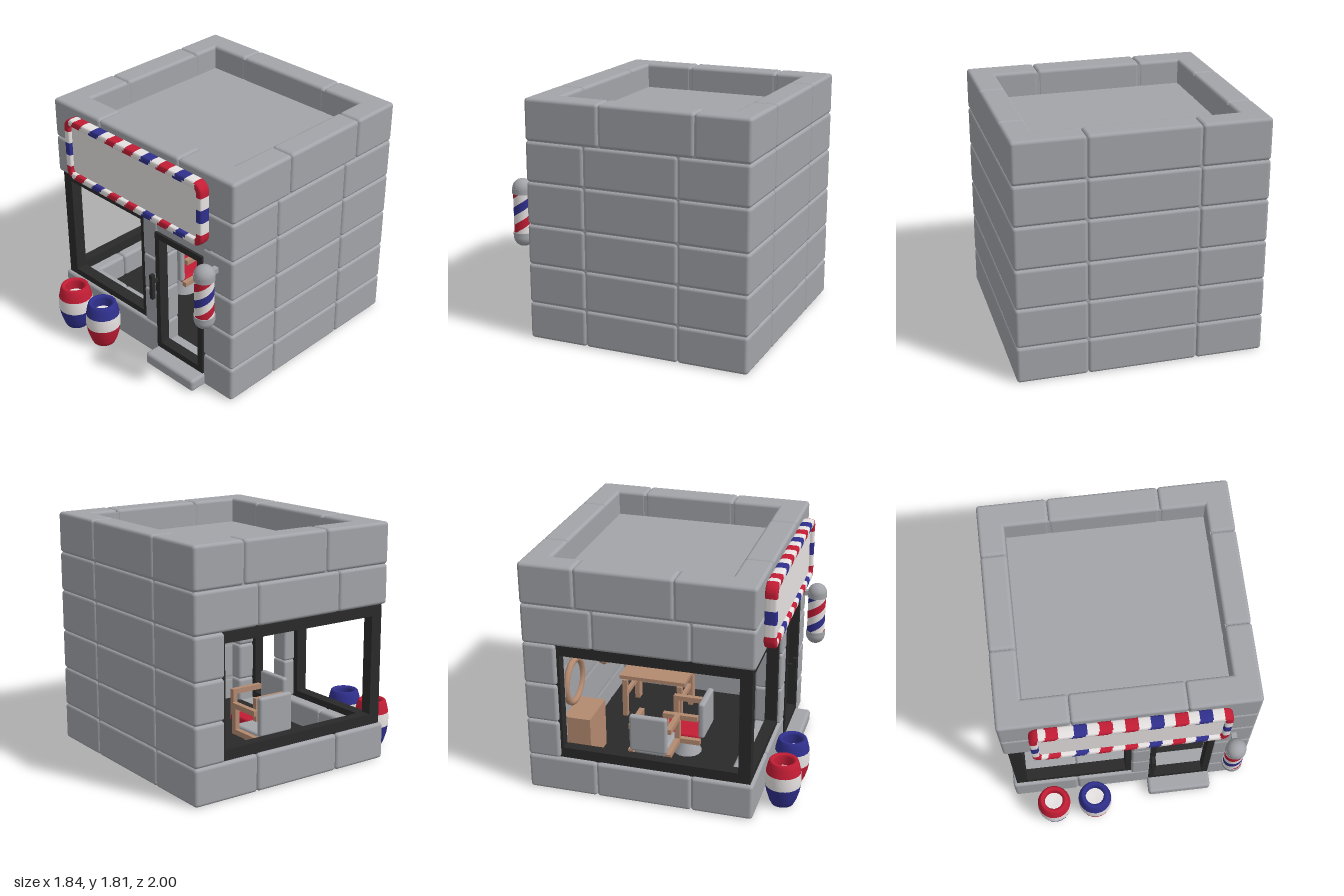
import * as THREE from 'three';
import { RoundedBoxGeometry } from 'three/addons/geometries/RoundedBoxGeometry.js';

const mat = (name, color, side = THREE.FrontSide) => {
  const m = new THREE.MeshStandardMaterial({ color, side });
  m.name = name;
  return m;
};

export function createModel() {
  const stone = mat('stone grey', 0xa2a4a9);
  const white = mat('white', 0xe8e3e3, THREE.DoubleSide);
  const red = mat('red', 0xc41d35, THREE.DoubleSide);
  const blue = mat('blue', 0x30308e, THREE.DoubleSide);
  const black = mat('black', 0x2a2a2a);
  const wood = mat('wood', 0xb48a70);

  const model = new THREE.Group();
  model.name = 'barberShop';

  const add = (name, geo, material, parent = model) => {
    const m = new THREE.Mesh(geo, material);
    m.name = name;
    parent.add(m);
    return m;
  };
  // Box given by its limits, with optional rounded edges
  const box = (name, material, [x0, x1], [y0, y1], [z0, z1], r = 0, parent = model) => {
    const s = [x1 - x0, y1 - y0, z1 - z0];
    const geo = r ? new RoundedBoxGeometry(...s, 3, r) : new THREE.BoxGeometry(...s);
    const m = add(name, geo, material, parent);
    m.position.set((x0 + x1) / 2, (y0 + y1) / 2, (z0 + z1) / 2);
    return m;
  };
  // Surface grid with one material per cell
  const grid = (name, nu, nv, pos, pick, materials) => {
    const p = [], lists = materials.map(() => []);
    for (let j = 0; j <= nv; j++) for (let i = 0; i <= nu; i++) p.push(...pos(i / nu, j / nv));
    for (let j = 0; j < nv; j++) for (let i = 0; i < nu; i++) {
      const a = j * (nu + 1) + i, b = a + 1, c = b + nu + 1, d = a + nu + 1;
      lists[pick((i + 0.5) / nu, (j + 0.5) / nv)].push(a, b, c, a, c, d);
    }
    const geo = new THREE.BufferGeometry();
    geo.setAttribute('position', new THREE.Float32BufferAttribute(p, 3));
    geo.setIndex(lists.flat());
    let start = 0;
    lists.forEach((l, k) => { geo.addGroup(start, l.length, k); start += l.length; });
    geo.computeVertexNormals();
    return add(name, geo, materials);
  };

  // Stone block walls, six courses high
  const rows = [0, 0.28, 0.58, 0.88, 1.2, 1.5, 1.81];
  const X = [-0.92, -0.41, 0.4, 0.92];
  for (let r = 0; r < 6; r++) {
    const y = [rows[r], rows[r + 1]];
    const Z = r === 5 ? [-1, -0.59, 0.13, 0.71] : [-1, -0.47, 0.25, 0.71];
    const opening = r >= 1 && r <= 3;
    for (let k = 0; k < 3; k++) {
      const x = [X[k], X[k + 1]], z = [Z[k], Z[k + 1]];
      box('backWallBlock', stone, x, y, [-1, -0.81], 0.025);
      box('leftWallBlock', stone, [0.73, 0.92], y, z, 0.025);
      if (!opening) box('rightWallBlock', stone, [-0.92, -0.73], y, z, 0.025);
      if (r > 3) box('frontWallBlock', stone, x, y, [0.5, 0.71], 0.025);
    }
    if (opening) {
      box('rightRearPillar', stone, [-0.92, -0.73], y, [-1, -0.75], 0.025);
      box('doorPillar', stone, [0.02, 0.17], y, [0.5, 0.71], 0.02);
      box('frontCornerPillar', stone, [0.63, 0.92], y, [0.5, 0.71], 0.025);
    }
  }
  // Solid wall cores closing the joints between blocks
  box('backWallCore', stone, [-0.9, 0.9], [0.02, 1.79], [-0.985, -0.813]);
  box('leftWallCore', stone, [0.733, 0.905], [0.02, 1.79], [-0.98, 0.69]);
  box('rightWallCore', stone, [-0.905, -0.733], [1.21, 1.79], [-0.98, 0.69]);
  box('frontWallCore', stone, [-0.9, 0.9], [1.21, 1.79], [0.503, 0.695]);

  box('windowBaseBlock', stone, [-0.92, -0.41], [0, 0.28], [0.5, 0.71], 0.025);
  box('windowBaseBlock', stone, [-0.41, 0.17], [0, 0.28], [0.5, 0.71], 0.025);
  box('windowBaseCore', stone, [-0.9, 0.15], [0.02, 0.26], [0.51, 0.695]);
  box('cornerBaseBlock', stone, [0.63, 0.92], [0, 0.28], [0.5, 0.71], 0.025);
  box('doorLintel', stone, [0.1, 0.7], [1.11, 1.22], [0.52, 0.7]);
  box('doorstep', stone, [0.15, 0.65], [0, 0.1], [0.5, 0.84], 0.025);
  box('foundation', stone, [-0.85, 0.85], [0.005, 0.09], [-0.93, 0.65]);
  box('floor', black, [-0.74, 0.74], [0.09, 0.1], [-0.82, 0.52]);
  box('roof', stone, [-0.8, 0.8], [1.54, 1.62], [-0.9, 0.6]);

  // Window and door frames
  const frame = (name, [x0, x1], [y0, y1], d, left, w) => {
    const g = new THREE.Group();
    g.name = name;
    model.add(g);
    const z = [-d / 2, d / 2];
    box('leftPost', black, [x0, x0 + left], [y0, y1], z, 0, g);
    box('rightPost', black, [x1 - w, x1], [y0, y1], z, 0, g);
    box('topRail', black, [x0 + left, x1 - w], [y1 - w, y1], z, 0, g);
    box('bottomRail', black, [x0 + left, x1 - w], [y0, y0 + w], z, 0, g);
    return g;
  };
  frame('frontWindowFrame', [-0.89, 0.03], [0.275, 1.19], 0.09, 0.085, 0.055).position.z = 0.64;
  const side = frame('sideWindowFrame', [-0.77, 0.68], [0.275, 1.2], 0.08, 0.04, 0.085);
  side.rotation.y = -Math.PI / 2;
  side.position.x = -0.85;
  frame('doorFrame', [0.16, 0.64], [0.105, 1.125], 0.08, 0.042, 0.05).position.z = 0.68;
  box('handle', black, [0.165, 0.195], [0.58, 0.79], [0.76, 0.79]);
  box('handleMount', black, [0.17, 0.19], [0.71, 0.735], [0.7, 0.77]);

  // Sign board with a striped rounded border
  const w = 0.68, h = 0.222, rad = 0.05, cy = 1.51;
  const path = new THREE.Shape();
  path.moveTo(w, 0);
  path.lineTo(w, h - rad);
  path.absarc(w - rad, h - rad, rad, 0, Math.PI / 2);
  path.absarc(rad - w, h - rad, rad, Math.PI / 2, Math.PI);
  path.absarc(rad - w, rad - h, rad, Math.PI, Math.PI * 1.5);
  path.absarc(w - rad, rad - h, rad, Math.PI * 1.5, Math.PI * 2);
  path.lineTo(w, 0);
  const soft = v => Math.sign(v) * Math.sqrt(Math.abs(v));
  const borderPos = (u, v) => {
    const p = path.getPointAt(u), t = path.getTangentAt(u), a = v * Math.PI * 2;
    const n = soft(Math.cos(a)) * 0.029;
    return [p.x + t.y * n, p.y - t.x * n + cy, 0.755 + soft(Math.sin(a)) * 0.045];
  };
  const stripes = [[-0.37, 2], [-0.195, 1], [-0.015, 1], [0.16, 2], [0.33, 1], [0.495, 2]];
  grid('signBorder', 420, 16, borderPos, (u, v) => {
    const [x, yy] = borderPos(u, v), y = yy - cy;
    if (Math.abs(y) < 0.19) {
      if (Math.abs(y) < 0.05) return 2;
      return Math.abs(y) > 0.14 ? 1 : 0;
    }
    if (Math.abs(x) > 0.645) return 1;
    const lean = x - (y - Math.sign(y) * h) * 0.7;
    if (Math.abs(lean + 0.565) < 0.045) return 1;
    const s = stripes.find(q => Math.abs(lean - q[0]) < 0.046);
    return s ? s[1] : 0;
  }, [white, red, blue]);
  box('signPanel', white, [-0.67, 0.67], [1.3, 1.72], [0.69, 0.77]);

  // Striped pole with ball ends
  const px = 0.77, pz = 0.83;
  grid('stripedPole', 48, 32, (u, v) => {
    const y = 0.72 + v * 0.37, a = Math.PI * 2 * (u + (y - 1.06) / 0.27);
    return [px + 0.071 * Math.sin(a), y, pz + 0.071 * Math.cos(a)];
  }, u => [1, 0, 2, 0][Math.floor(u * 4)], [white, red, blue]);
  for (const [y, s] of [[1.1, 1], [0.735, -1]]) {
    add('poleBall', new THREE.SphereGeometry(0.076, 20, 14), stone).position.set(px, y, pz);
    const collar = add('poleCollar', new THREE.CylinderGeometry(0.077, 0.077, 0.04, 20), stone);
    collar.position.set(px, y - s * 0.015, pz);
  }
  box('poleBracket', stone, [px - 0.02, px + 0.02], [1.07, 1.11], [0.69, 0.79]);

  // Banded barrel planters
  const barrel = (x, top, bottom) => {
    const g = new THREE.Group();
    g.name = 'barrel';
    g.position.set(x, 0, 0.87);
    model.add(g);
    const band = (name, m, pts) =>
      add(name, new THREE.LatheGeometry(pts.map(p => new THREE.Vector2(...p)), 20), m, g);
    band('bottomBand', bottom, [[0, 0], [0.085, 0], [0.1, 0.03], [0.122, 0.1], [0.132, 0.16]]);
    band('middleBand', white, [[0.132, 0.16], [0.134, 0.21], [0.13, 0.265]]);
    band('topBand', top, [[0.13, 0.265], [0.118, 0.32], [0.107, 0.355], [0.098, 0.362], [0.08, 0.358], [0.072, 0.34], [0.075, 0.27]]);
    band('inside', white, [[0.076, 0.27], [0, 0.265]]);
  };
  barrel(-0.615, red, blue);
  barrel(-0.29, blue, red);

  // Round wall mirrors
  for (const x of [-0.47, 0.25]) {
    add('mirrorRing', new THREE.TorusGeometry(0.168, 0.026, 8, 16), wood).position.set(x, 0.7, -0.79);
    const glass = add('mirrorGlass', new THREE.CylinderGeometry(0.16, 0.16, 0.008, 24), stone);
    glass.rotation.x = Math.PI / 2;
    glass.position.set(x, 0.7, -0.803);
  }
  box('mirrorCabinet', wood, [-0.67, -0.33], [0.1, 0.49], [-0.82, -0.6]);

  // Barber chairs, local front is +z
  const chair = (x, z, turn, seat) => {
    const g = new THREE.Group();
    g.name = 'barberChair';
    g.position.set(x, 0, z);
    g.rotation.y = turn;
    model.add(g);
    box('chairBack', stone, [-0.145, 0.145], [0.3, 0.595], [-0.17, -0.12], 0.02, g);
    box('chairSeat', seat, [-0.125, 0.125], [0.25, 0.31], [-0.12, 0.18], 0.02, g);
    for (const s of [-1, 1]) {
      const ax = [s * 0.145 - 0.02, s * 0.145 + 0.02];
      box('armrest', wood, ax, [0.45, 0.49], [-0.12, 0.15], 0, g);
      box('armPost', wood, ax, [0.25, 0.45], [0.11, 0.15], 0, g);
      box('sideRail', wood, ax, [0.25, 0.29], [-0.14, 0.11], 0, g);
    }
    const stem = add('pedestal', new THREE.CylinderGeometry(0.035, 0.11, 0.16, 16), stone, g);
    stem.position.y = 0.18;
  };
  chair(-0.53, -0.14, Math.PI / 2, stone);
  chair(-0.25, 0.04, Math.PI, red);

  // Waiting bench beside the left wall
  const bz = [-0.65, -0.1];
  box('benchSeat', wood, [0.15, 0.6], [0.425, 0.455], bz);
  box('benchBack', wood, [0.54, 0.59], [0.565, 0.905], bz);
  for (const z of [-0.62, -0.16]) {
    box('benchRearLeg', wood, [0.45, 0.53], [0.1, 0.425], [z, z + 0.04]);
    box('benchFrontLeg', wood, [0.13, 0.17], [0.1, 0.425], [z, z + 0.04]);
    box('benchRail', wood, [0.15, 0.46], [0.265, 0.3], [z, z + 0.03]);
    box('benchBackPost', wood, [0.57, 0.59], [0.455, 0.57], [z, z + 0.03]);
  }
  return model;
}
